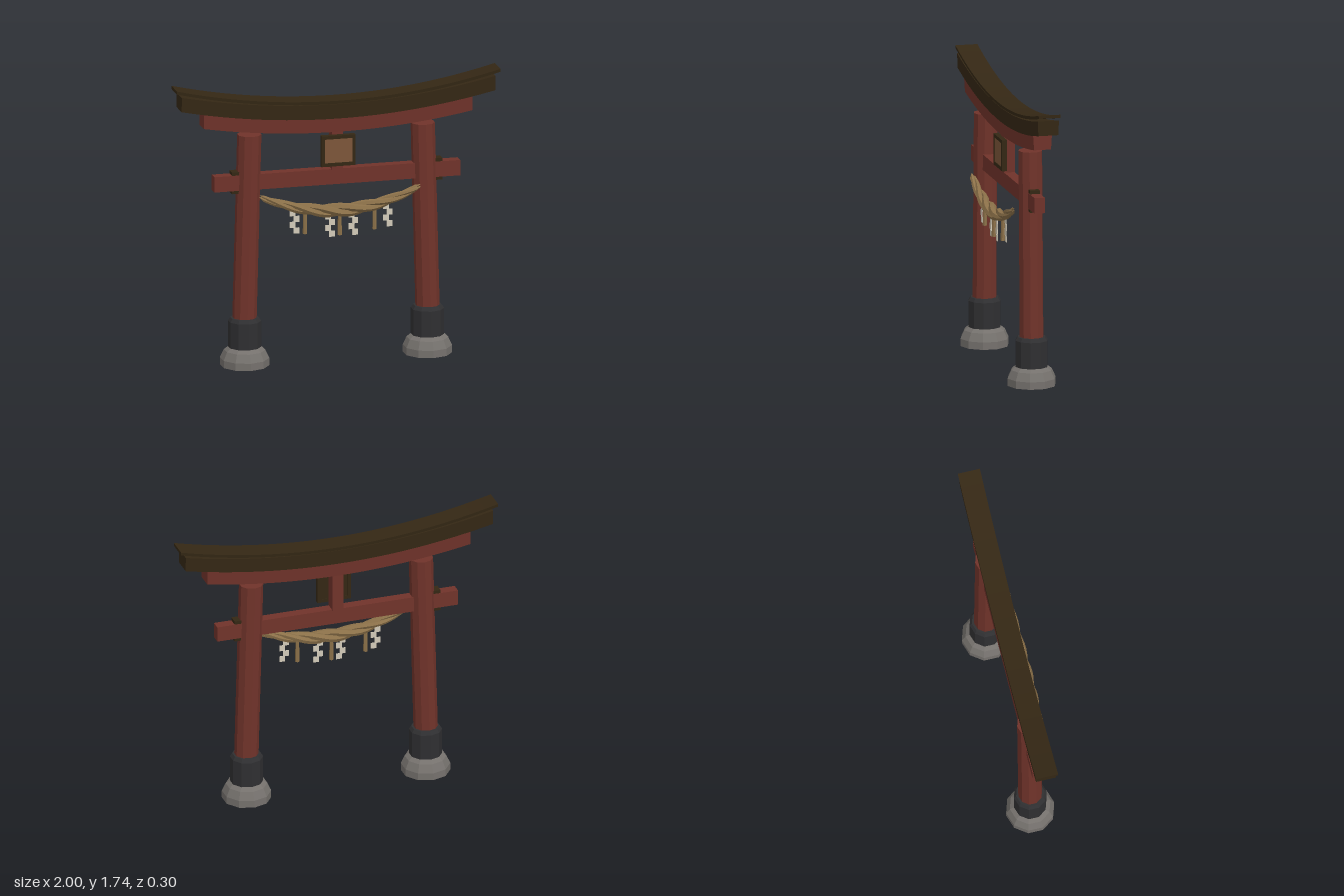
import * as THREE from 'three';

const mat = (name, color, side = THREE.FrontSide) =>
  new THREE.MeshStandardMaterial({ name, color, side, flatShading: true });

export function createModel() {
  const red = mat('vermilion wood', 0x70332a);
  const dark = mat('dark roof wood', 0x342714);
  const stone = mat('stone', 0x75716d, THREE.DoubleSide);
  const black = mat('black collar', 0x2f2f31, THREE.DoubleSide);
  const panel = mat('plaque panel', 0x7c5639);
  const straw = mat('straw rope', 0x8c7149);
  const paper = mat('paper', 0xd2cab8, THREE.DoubleSide);

  const model = new THREE.Group();
  model.name = 'gate';
  const add = (name, geo, material, x = 0, y = 0, z = 0, parent = model) => {
    const mesh = new THREE.Mesh(geo, material);
    mesh.name = name;
    mesh.position.set(x, y, z);
    parent.add(mesh);
    return mesh;
  };
  const box = (w, h, d) => new THREE.BoxGeometry(w, h, d);
  const lathe = pts => new THREE.LatheGeometry(pts.map(p => new THREE.Vector2(...p)), 10);

  // Pillars, leaning inwards, on collars and hollow footing stones
  for (const s of [1, -1]) {
    const side = s > 0 ? 'left' : 'right';
    add(side + 'Footing', lathe([[0.148, 0], [0.148, 0.045], [0.125, 0.095], [0.098, 0.116]]), stone, s * 0.565);
    add(side + 'Collar', lathe([[0.1, 0.112], [0.1, 0.275], [0.086, 0.296], [0.06, 0.296]]), black, s * 0.565);
    const pillar = new THREE.CylinderGeometry(0.073, 0.073, 1.31, 10);
    const p = pillar.attributes.position;
    for (let i = 0; i < p.count; i++) p.setX(i, p.getX(i) - s * 0.026 * p.getY(i));
    add(side + 'Pillar', pillar, red, s * 0.553, 0.775);
    // Wedges above and below the tie beam
    for (const y of [1.194, 1.084]) add(side + 'Wedge', box(0.06, 0.024, 0.06), dark, s * 0.62, y);
  }

  // Upswept beams: a box bent along a parabola, narrowed towards the bottom
  const curvedBeam = (name, half, bottom, height, depth, rise, narrow, material) => {
    const geo = new THREE.BoxGeometry(half * 2, height, depth, 24, 1, 1);
    const p = geo.attributes.position;
    for (let i = 0; i < p.count; i++) {
      if (p.getY(i) < 0) p.setZ(i, p.getZ(i) * narrow);
      p.setY(i, p.getY(i) + rise * p.getX(i) ** 2);
    }
    return add(name, geo, material, 0, bottom + height / 2, 0);
  };
  curvedBeam('lowerLintel', 0.83, 1.42, 0.088, 0.116, 0.109, 0.9, red);
  curvedBeam('upperLintel', 0.97, 1.505, 0.09, 0.13, 0.114, 0.95, dark);
  curvedBeam('roofCap', 1.0, 1.598, 0.019, 0.136, 0.127, 0.97, dark);

  // Tie beam, centre strut and framed plaque
  add('tieBeam', box(1.52, 0.095, 0.064), red, 0, 1.138);
  add('centreStrut', box(0.07, 0.25, 0.07), red, 0, 1.305);
  const plaque = new THREE.Group();
  plaque.name = 'plaque';
  plaque.position.set(0, 1.305, 0.048);
  model.add(plaque);
  add('plaqueBack', box(0.2, 0.18, 0.018), dark, 0, 0, -0.004, plaque);
  add('plaquePanel', box(0.172, 0.148, 0.008), panel, 0, 0, 0.007, plaque);
  for (const s of [1, -1]) {
    add('frameSide', box(0.02, 0.19, 0.032), dark, s * 0.095, 0, 0, plaque);
    add('frameRail', box(0.17, 0.021, 0.032), dark, 0, s * 0.0845, 0, plaque);
  }

  // Hanging rope: three twisted strands, thickest in the middle
  const sag = x => 0.946 + 0.47 * x * x;
  const thick = x => 1 - 0.58 * Math.pow(Math.abs(x) / 0.5, 1.5);
  const rope = new THREE.Group();
  rope.name = 'rope';
  model.add(rope);
  const SEG = 30, SIDES = 6;
  for (let k = 0; k < 3; k++) {
    const pts = [];
    for (let i = 0; i <= 30; i++) {
      const x = -0.5 + i / 30;
      const a = (x * 2 + k / 3) * Math.PI * 2;
      const r = 0.021 * thick(x);
      pts.push(new THREE.Vector3(x, sag(x) + r * Math.cos(a), 0.096 + r * Math.sin(a)));
    }
    const curve = new THREE.CatmullRomCurve3(pts);
    const geo = new THREE.TubeGeometry(curve, SEG, 0.024, SIDES);
    const p = geo.attributes.position, v = new THREE.Vector3();
    for (let i = 0; i <= SEG; i++) {
      const c = curve.getPointAt(i / SEG);
      for (let j = 0; j <= SIDES; j++) {
        const n = i * (SIDES + 1) + j;
        v.fromBufferAttribute(p, n).sub(c).multiplyScalar(thick(Math.min(0.5, Math.abs(c.x)))).add(c);
        // Close the tips
        if (i === 0 || i === SEG) v.copy(c);
        p.setXYZ(n, v.x, v.y, v.z);
      }
    }
    add('ropeStrand', geo, straw, 0, 0, 0, rope);
  }

  // Straw tassels
  for (const x of [-0.215, 0, 0.215]) {
    const top = sag(x) - 0.01, bottom = sag(x) - 0.156;
    add('tassel', new THREE.CylinderGeometry(0.011, 0.014, top - bottom, 6), straw, x, (top + bottom) / 2, 0.087);
  }

  // Folded paper streamers: plates stepping from side to side
  for (const x of [-0.28, -0.06, 0.083, 0.297]) {
    const streamer = new THREE.Group();
    streamer.name = 'paperStreamer';
    streamer.position.set(x, sag(x) - 0.02, 0.09);
    model.add(streamer);
    for (let i = 0; i < 4; i++) {
      const s = i % 2 ? 1 : -1;
      add('paperFold', box(0.036, 0.037, 0.004), paper, s * 0.011, -0.018 - i * 0.036, s * 0.002, streamer);
    }
  }
  return model;
}
